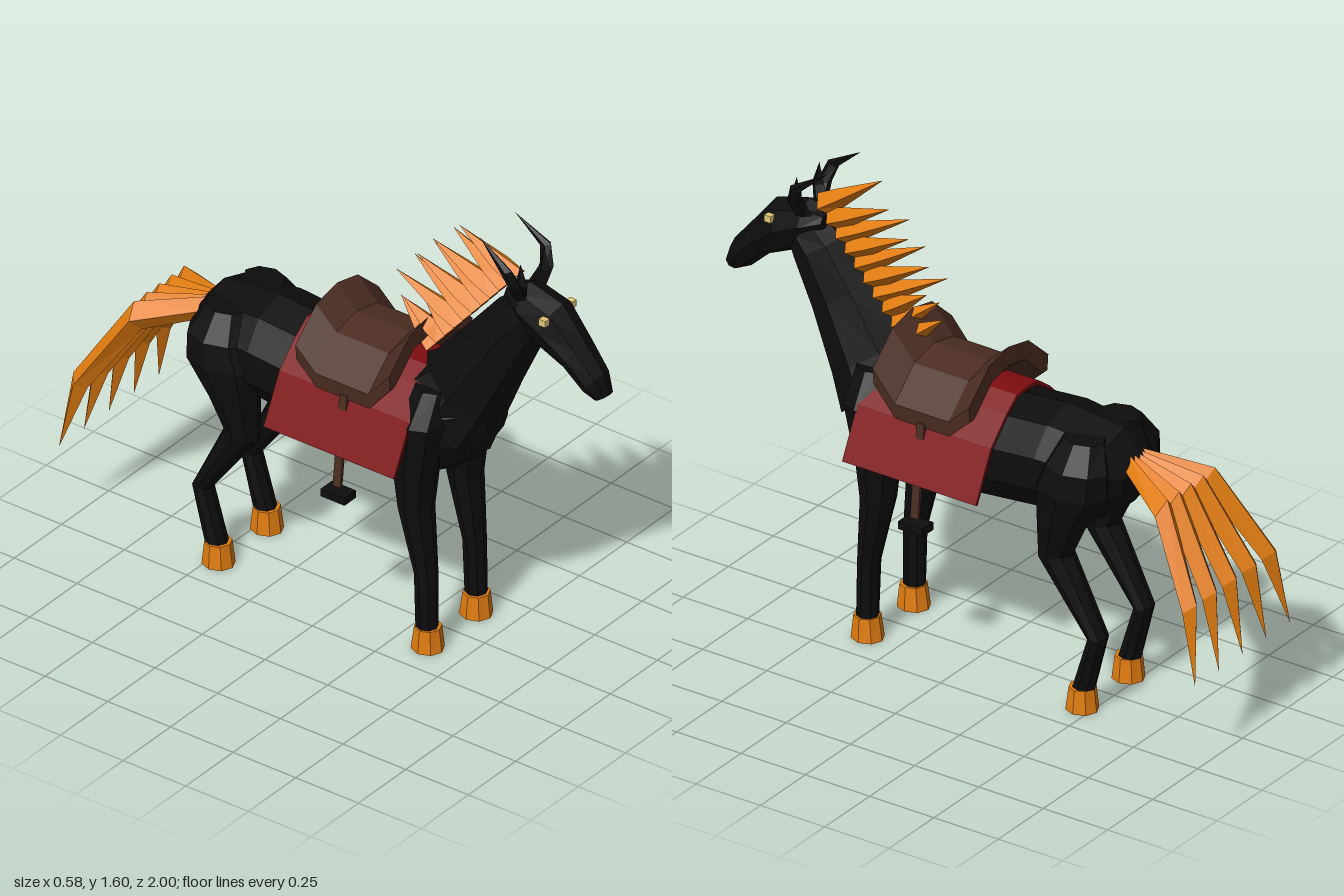
import * as THREE from 'three';

const mat = (name, color, side = THREE.FrontSide) => {
  const m = new THREE.MeshStandardMaterial({ color, side });
  m.name = name;
  return m;
};

// Ring spanning two opposite points in the z-y plane, with half-width rx around x
const ring = ([x, z1, y1, z2, y2, rx], n) => {
  const pts = [];
  for (let i = 0; i < n; i++) {
    const t = (i / n) * Math.PI * 2, c = Math.cos(t) / 2;
    pts.push(new THREE.Vector3(x + rx * Math.sin(t), (y1 + y2) / 2 + (y1 - y2) * c, (z1 + z2) / 2 + (z1 - z2) * c));
  }
  return pts;
};

// Faceted closed skin over a list of point loops, always facing outward
function loft(loops) {
  const tris = [], n = loops[0].length;
  const add = (a, b, c) => {
    if (b.clone().sub(a).cross(c.clone().sub(a)).lengthSq() > 1e-14) tris.push([a, b, c]);
  };
  for (let k = 0; k + 1 < loops.length; k++) {
    for (let i = 0; i < n; i++) {
      const j = (i + 1) % n, p = loops[k], q = loops[k + 1];
      add(p[i], p[j], q[j]);
      add(p[i], q[j], q[i]);
    }
  }
  // End caps
  const first = loops[0], last = loops[loops.length - 1];
  THREE.ShapeUtils.triangulateShape(flat(first), []).forEach(([a, b, c]) => capTri(first, a, b, c, true));
  THREE.ShapeUtils.triangulateShape(flat(last), []).forEach(([a, b, c]) => capTri(last, a, b, c, false));
  function capTri(l, a, b, c, start) {
    const s = [a, b, c].sort((u, v) => u - v);
    if (start) add(l[s[0]], l[s[2]], l[s[1]]);
    else add(l[s[0]], l[s[1]], l[s[2]]);
  }
  const volume = tris.reduce((v, [a, b, c]) => v + a.dot(b.clone().cross(c)), 0);
  const out = [];
  tris.forEach(([a, b, c]) => (volume < 0 ? [a, c, b] : [a, b, c]).forEach(p => out.push(p.x, p.y, p.z)));
  const g = new THREE.BufferGeometry();
  g.setAttribute('position', new THREE.Float32BufferAttribute(out, 3));
  g.computeVertexNormals();
  return g;
}

// Project a loop onto its own plane for cap triangulation
function flat(l) {
  const nrm = new THREE.Vector3();
  l.forEach((p, i) => nrm.add(p.clone().cross(l[(i + 1) % l.length])));
  if (nrm.lengthSq() < 1e-16) return l.map(p => new THREE.Vector2(p.x, p.y));
  const q = new THREE.Quaternion().setFromUnitVectors(nrm.normalize(), new THREE.Vector3(0, 0, 1));
  return l.map(p => { const r = p.clone().applyQuaternion(q); return new THREE.Vector2(r.x, r.y); });
}

export function createModel() {
  const model = new THREE.Group();
  model.name = 'saddledHorse';
  const coat = mat('black coat', 0x0d0d0d), flame = mat('orange hair', 0xe07c10);
  const leather = mat('brown leather', 0x4c2d22), red = mat('red cloth', 0x7d0c10);
  const eyeMat = mat('pale yellow eye', 0xe0c878);

  const put = (name, geo, m) => {
    const mesh = new THREE.Mesh(geo, m);
    mesh.name = name;
    model.add(mesh);
    return mesh;
  };
  const skin = (name, rows, n, m) => put(name, loft(rows.map(r => ring(r, n))), m);
  const pair = (name, rows, n, m) => {
    for (const s of [1, -1]) {
      skin((s > 0 ? 'left' : 'right') + name, rows.map(([x, ...r]) => [x * s, ...r]), n, m);
    }
  };

  // Rows are: x centre, z and y of one edge, z and y of the opposite edge, half-width
  skin('body', [
    [0, 0.55, 0.95, 0.55, 0.81, 0.06], [0, 0.48, 1.0, 0.48, 0.70, 0.12],
    [0, 0.38, 1.02, 0.38, 0.62, 0.175], [0, 0.25, 1.0, 0.25, 0.595, 0.19],
    [0, 0, 0.98, 0, 0.605, 0.19], [0, -0.32, 1.005, -0.30, 0.635, 0.19],
    [0, -0.54, 0.98, -0.51, 0.665, 0.17], [0, -0.605, 0.90, -0.58, 0.73, 0.08],
  ], 10, coat);
  skin('neck', [
    [0, 0.22, 0.98, 0.52, 0.74, 0.17], [0, 0.31, 1.04, 0.57, 0.86, 0.13],
    [0, 0.45, 1.20, 0.655, 1.06, 0.095], [0, 0.56, 1.33, 0.73, 1.22, 0.08],
    [0, 0.64, 1.39, 0.74, 1.25, 0.07],
  ], 8, coat);
  skin('head', [
    [0, 0.61, 1.41, 0.61, 1.35, 0.045], [0, 0.68, 1.435, 0.68, 1.28, 0.075],
    [0, 0.81, 1.40, 0.73, 1.235, 0.082], [0, 0.90, 1.29, 0.84, 1.185, 0.067],
    [0, 0.975, 1.20, 0.91, 1.12, 0.055], [0, 1.0, 1.13, 0.95, 1.10, 0.035],
  ], 8, coat);

  pair('Horn', [
    [0.05, 0.705, 1.40, 0.655, 1.40, 0.022], [0.085, 0.71, 1.46, 0.66, 1.46, 0.022],
    [0.105, 0.685, 1.525, 0.645, 1.51, 0.016], [0.093, 0.55, 1.60, 0.55, 1.60, 0],
  ], 5, coat);
  pair('Ear', [
    [0.045, 0.70, 1.40, 0.64, 1.40, 0.025], [0.06, 0.715, 1.46, 0.67, 1.46, 0.02],
    [0.063, 0.69, 1.535, 0.69, 1.535, 0],
  ], 4, coat);
  for (const s of [1, -1]) {
    put('eye', new THREE.BoxGeometry(0.022, 0.024, 0.026), eyeMat).position.set(s * 0.072, 1.36, 0.79);
  }

  // Legs and hooves
  pair('FrontLeg', [
    [0.13, 0.405, 0.07, 0.33, 0.07, 0.037], [0.128, 0.40, 0.28, 0.325, 0.28, 0.042],
    [0.13, 0.385, 0.52, 0.265, 0.52, 0.062], [0.13, 0.40, 0.64, 0.25, 0.64, 0.072],
    [0.135, 0.44, 0.86, 0.28, 0.86, 0.085], [0.09, 0.43, 0.97, 0.30, 0.97, 0.06],
  ], 8, coat);
  pair('HindLeg', [
    [0.128, -0.43, 0.07, -0.51, 0.07, 0.038], [0.128, -0.495, 0.27, -0.56, 0.28, 0.04],
    [0.13, -0.305, 0.52, -0.43, 0.545, 0.055], [0.135, -0.305, 0.66, -0.485, 0.66, 0.075],
    [0.145, -0.30, 0.79, -0.575, 0.79, 0.088], [0.14, -0.34, 0.88, -0.57, 0.88, 0.085],
    [0.10, -0.38, 0.965, -0.53, 0.965, 0.06],
  ], 8, coat);
  pair('FrontHoof', [[0.128, 0.425, 0, 0.312, 0, 0.053], [0.128, 0.415, 0.083, 0.325, 0.083, 0.046]], 8, flame);
  pair('HindHoof', [[0.128, -0.41, 0, -0.522, 0, 0.053], [0.128, -0.422, 0.083, -0.512, 0.083, 0.046]], 8, flame);

  // Mane spikes sweep back from the crest; each pair is a tip z, y
  const tips = [[0.42, 1.565], [0.355, 1.505], [0.305, 1.465], [0.28, 1.42], [0.245, 1.385],
    [0.20, 1.345], [0.16, 1.295], [0.21, 1.24], [0.19, 1.20], [0.145, 1.17]];
  tips.forEach(([tz, ty], i) => {
    const t = i / (tips.length - 1), z = 0.625 - 0.325 * t, y = 1.43 - 0.38 * t;
    const x = i === 0 ? -0.03 : (i % 2 ? 0.025 : -0.02);
    skin('maneSpike', [
      [0, z + 0.027, y + 0.032, z - 0.027, y - 0.032, 0.045],
      [x * 0.3, z * 0.72 + tz * 0.28 + 0.017, y * 0.72 + ty * 0.28 + 0.026,
        z * 0.72 + tz * 0.28 - 0.017, y * 0.72 + ty * 0.28 - 0.026, 0.042],
      [x, tz, ty, tz, ty, 0],
    ], 4, flame);
  });

  // Tail fans into five bent strands
  for (let i = -2; i <= 2; i++) {
    skin('tailStrand', [
      [i * 0.015, -0.58, 0.91, -0.58, 0.83, 0.03], [i * 0.066, -0.80, 0.86, -0.77, 0.765, 0.048],
      [i * 0.11, -0.975, 0.57, -0.92, 0.53, 0.04], [i * 0.132, -1, 0.30, -1, 0.30, 0],
    ], 4, flame);
  }

  // Saddle and cloth: half outline from the middle outward, thickened and mirrored
  const arch = (half, inner, z, dy) => {
    const both = h => [...h.slice(1).reverse().map(([x, y]) => [-x, y]), ...h];
    return [...both(half), ...both(inner).reverse()].map(([x, y]) => new THREE.Vector3(x, y + dy, z));
  };
  const sheet = (name, half, inner, stations, m) => {
    // One four-cornered strip per facet keeps the concave ends clean
    for (let i = 0; i + 1 < half.length; i++) {
      for (const s of [1, -1]) {
        const quad = [half[i], half[i + 1], inner[i + 1], inner[i]];
        put(name, loft(stations.map(([z, dy]) => quad.map(([x, y]) => new THREE.Vector3(x * s, y + dy, z)))), m);
      }
    }
  };
  sheet('saddleCloth',
    [[0, 1.015], [0.06, 1.01], [0.12, 0.965], [0.205, 0.88], [0.29, 0.71]],
    [[0, 1.003], [0.055, 0.998], [0.113, 0.955], [0.195, 0.873], [0.28, 0.705]],
    [[0.355, 0], [-0.165, 0]], red);
  sheet('saddle',
    [[0, 1.06], [0.11, 1.035], [0.22, 0.935], [0.215, 0.88]],
    [[0, 0.99], [0.09, 0.975], [0.18, 0.89], [0.195, 0.88]],
    [[0.285, 0.1], [0.2, 0], [-0.01, 0], [-0.09, 0.075]], leather);

  // Stirrups
  for (const s of [1, -1]) {
    const strap = put('stirrupStrap', new THREE.BoxGeometry(0.012, 0.33, 0.03), leather);
    strap.position.set(s * 0.231, 0.73, 0.1);
    strap.rotation.z = s * 0.11;
    put('stirrup', new THREE.BoxGeometry(0.06, 0.028, 0.095), coat).position.set(s * 0.245, 0.537, 0.1);
  }
  return model;
}
